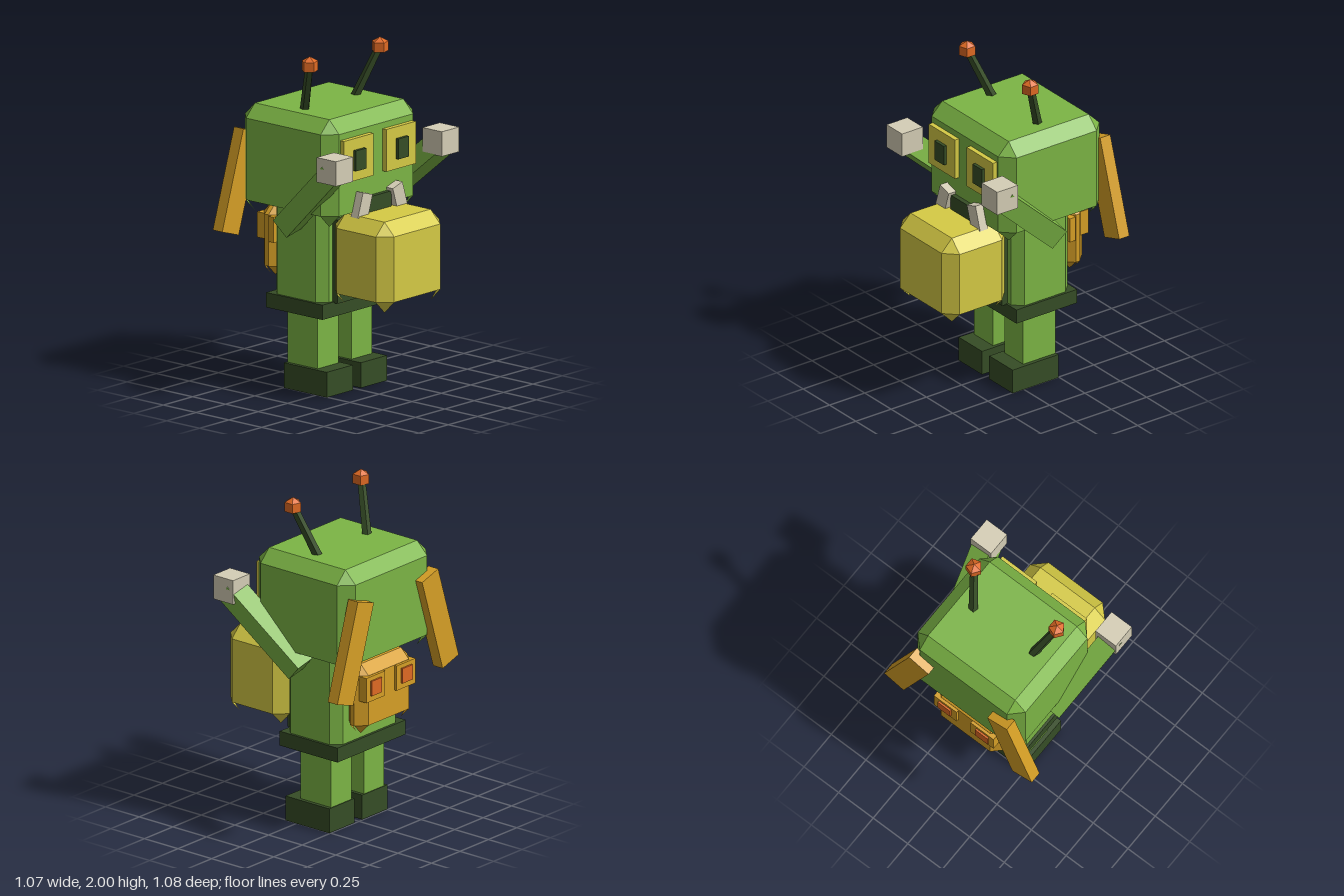
import * as THREE from 'three';

const mat = (name, color) => {
  const m = new THREE.MeshStandardMaterial({ color, side: THREE.DoubleSide });
  m.name = name;
  return m;
};

// Box between two corners; open boxes have no underside
function box(x0, x1, y0, y1, z0, z1, open = true) {
  const g = new THREE.BoxGeometry(x1 - x0, y1 - y0, z1 - z0);
  if (open) {
    const idx = Array.from(g.index.array);
    idx.splice(18, 6);
    g.setIndex(idx);
    g.clearGroups();
  }
  return g.translate((x0 + x1) / 2, (y0 + y1) / 2, (z0 + z1) / 2);
}

// Chamfered box with an open underside; its lower corner facets hang down as small points
function chamferBox(w, y0, y1, z0, z1, b) {
  const c = new THREE.Vector3(0, (y0 + y1) / 2, (z0 + z1) / 2);
  const half = [w, (y1 - y0) / 2, (z1 - z0) / 2];
  const pos = [];
  // Corner point lying on the face across the given axis
  const P = (axis, s) => new THREE.Vector3(
    ...half.map((h, i) => s[i] * (i === axis ? h : h - b))).add(c);
  const tri = (p, q, r) => {
    const n = q.clone().sub(p).cross(r.clone().sub(p));
    const out = n.dot(p.clone().sub(c)) > 0;
    for (const v of out ? [p, q, r] : [p, r, q]) pos.push(v.x, v.y, v.z);
  };
  const quad = (p, q, r, s) => { tri(p, q, r); tri(p, r, s); };
  const ring = [[1, 1], [1, -1], [-1, -1], [-1, 1]];
  // Top
  quad(...ring.map(([x, z]) => P(1, [x, 1, z])));
  for (const s of [1, -1]) {
    // Walls and top chamfers
    quad(...ring.map(([y, z]) => P(0, [s, y, z])));
    quad(...ring.map(([x, y]) => P(2, [x, y, s])));
    quad(P(0, [s, 1, 1]), P(0, [s, 1, -1]), P(1, [s, 1, -1]), P(1, [s, 1, 1]));
    quad(P(2, [1, 1, s]), P(2, [-1, 1, s]), P(1, [-1, 1, s]), P(1, [1, 1, s]));
  }
  for (const [x, z] of ring) {
    // Upright chamfers and corner facets
    quad(P(0, [x, 1, z]), P(0, [x, -1, z]), P(2, [x, -1, z]), P(2, [x, 1, z]));
    for (const y of [1, -1]) tri(P(0, [x, y, z]), P(1, [x, y, z]), P(2, [x, y, z]));
  }
  const g = new THREE.BufferGeometry();
  g.setAttribute('position', new THREE.Float32BufferAttribute(pos, 3));
  g.computeVertexNormals();
  return g;
}

export function createModel() {
  const group = new THREE.Group();
  group.name = 'antennaCreature';
  const green = mat('leafGreen', 0x7cb545);
  const dark = mat('darkGreen', 0x364d26);
  const yellow = mat('yellow', 0xd6cb45);
  const gold = mat('gold', 0xd69f26);
  const orange = mat('orange', 0xe06a24);
  const bone = mat('bone', 0xd5ceb6);
  orange.flatShading = dark.flatShading = true;

  const add = (name, geo, material) => {
    const m = new THREE.Mesh(geo, material);
    m.name = name;
    group.add(m);
    return m;
  };

  // Main masses
  add('head', chamferBox(0.39, 1.03, 1.66, -0.49, 0.227, 0.075), green);
  add('body', chamferBox(0.285, 0.465, 1.135, -0.327, 0.073, 0.055), green);
  add('belt', box(-0.3, 0.3, 0.47, 0.557, -0.343, 0.086), dark);
  add('chestPanel', box(-0.2, 0.2, 0.55, 1.04, 0.07, 0.112), dark);
  add('belly', chamferBox(0.27, 0.558, 1.09, 0.092, 0.54, 0.074), yellow);
  add('mouth', box(-0.1, 0.1, 1.09, 1.18, 0.22, 0.255), dark);

  // Small face on the back
  add('backFace', chamferBox(0.235, 0.632, 1.05, -0.47, -0.325, 0.058), gold);

  for (const s of [1, -1]) {
    const side = s > 0 ? 'left' : 'right';
    // Box centred on a mirrored x
    const pair = (name, x, w, y0, y1, z0, z1, material) =>
      add(side + name, box(s * x - w / 2, s * x + w / 2, y0, y1, z0, z1), material);

    pair('Leg', 0.144, 0.178, 0.15, 0.45, -0.24, -0.012, green);
    pair('Foot', 0.145, 0.222, 0.005, 0.153, -0.245, 0.08, dark);
    pair('Eye', 0.18, 0.25, 1.3, 1.548, 0.22, 0.256, yellow);
    pair('Pupil', 0.18, 0.088, 1.36, 1.48, 0.25, 0.275, dark);
    pair('Hand', 0.451, 0.147, 1.35, 1.495, 0.243, 0.39, bone);
    pair('BackEye', 0.133, 0.165, 0.84, 0.99, -0.487, -0.43, gold);
    pair('BackPupil', 0.135, 0.09, 0.875, 0.965, -0.498, -0.48, orange);
    pair('BackCheek', 0.225, 0.05, 0.84, 0.99, -0.37, -0.33, gold);

    // Raised arm
    const arm = add(side + 'Arm', new THREE.BoxGeometry(0.127, 0.617, 0.127), green);
    arm.position.set(s * 0.411, 1.21, 0.101);
    arm.rotation.set(0.823, 0, -s * 0.216, 'ZYX');

    // Tusk
    const tusk = add(side + 'Tusk', new THREE.BoxGeometry(0.086, 0.15, 0.055), bone);
    tusk.position.set(s * 0.149, 1.14, 0.25);
    tusk.rotation.z = s * 0.3;

    // Wing flap on the back
    const flap = add(side + 'Flap', new THREE.BoxGeometry(0.147, 0.6, 0.072), gold);
    flap.position.set(s * 0.373, 1.198, -0.504);
    flap.rotation.z = s * 0.306;

    // Antenna with a faceted tip
    const base = new THREE.Vector3(s * 0.208, 1.62, -0.135);
    const tip = new THREE.Vector3(s * 0.299, 1.944, -0.012);
    const dir = tip.clone().sub(base);
    const stalk = add(side + 'Antenna',
      new THREE.CylinderGeometry(0.024, 0.029, dir.length(), 5), dark);
    stalk.position.copy(base).add(tip).multiplyScalar(0.5);
    stalk.quaternion.setFromUnitVectors(new THREE.Vector3(0, 1, 0), dir.normalize());
    const ball = add(side + 'AntennaTip',
      new THREE.SphereGeometry(0.056, 5, 2, 0, Math.PI * 2, 0, Math.PI * 2 / 3), orange);
    ball.position.copy(tip);
  }
  return group;
}
